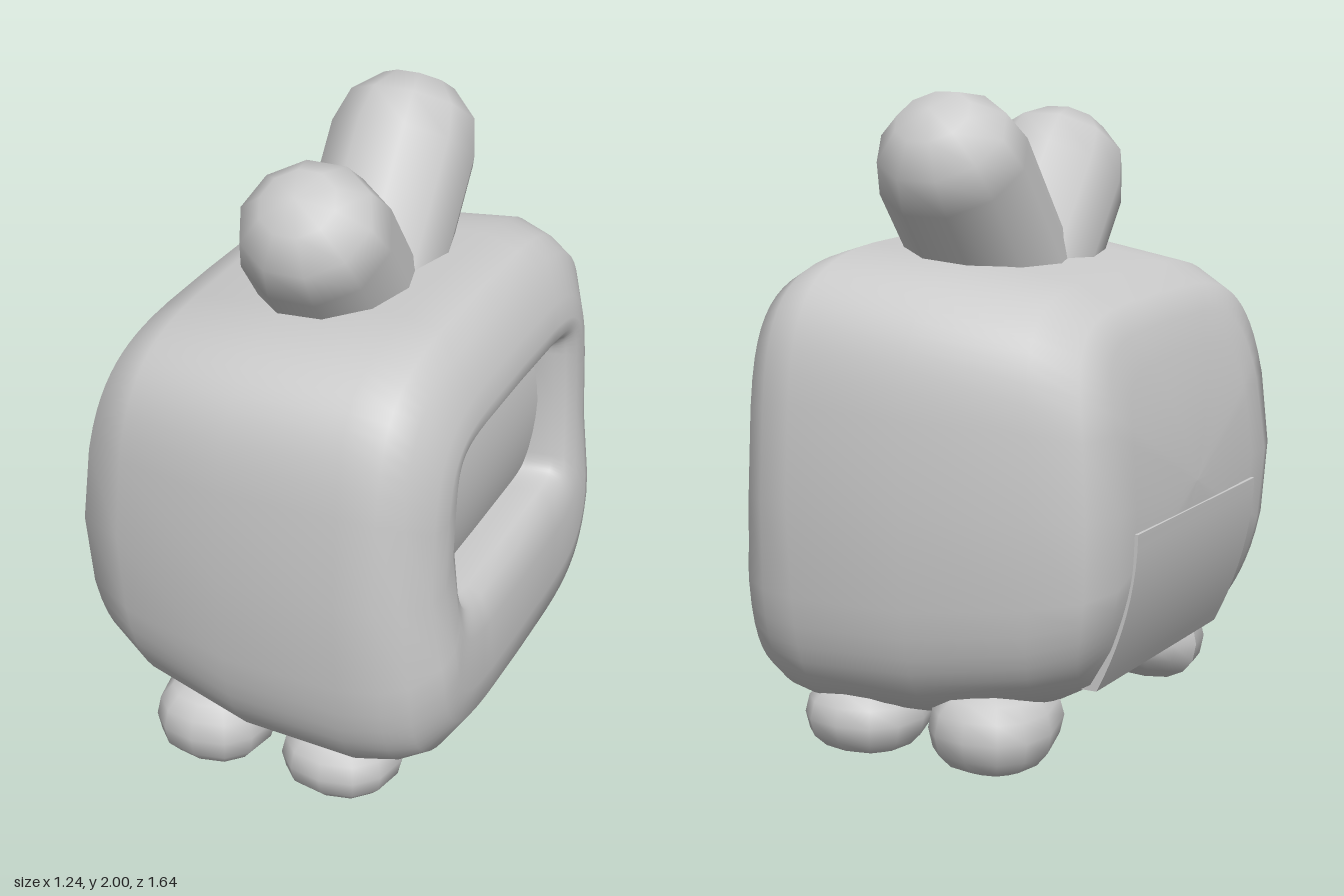
import * as THREE from 'three';

const material = new THREE.MeshStandardMaterial({ color: 0xcccccc });

function addMesh(parent, name, geometry) {
  const mesh = new THREE.Mesh(geometry, material);
  mesh.name = name;
  parent.add(mesh);
  return mesh;
}

const signedPow = (v, p) => Math.sign(v) * Math.abs(v) ** p;

// Bulge of the back: how far the surface moves forward away from mid height
const backCurve = (y) => (y > 0.77 ? 0.32 : 0.55) * (y - 0.77) ** 2;
// The lower front lip sticks out a little
const lip = (y) => 0.035 * (1 - THREE.MathUtils.smoothstep(y, 0.5, 0.85));

// Loft of pillow-shaped superellipse rings running along x.
// Ring: [x, half depth in z, bottom y, top y, exponent, back weight, lip weight]
function loft(rings, sides = 56) {
  const positions = [], index = [];
  rings.forEach(([x, halfZ, y0, y1, n, back, front], i) => {
    for (let j = 0; j < sides; j++) {
      const a = (j / sides) * Math.PI * 2;
      const u = signedPow(Math.cos(a), 2 / n), v = signedPow(Math.sin(a), 2 / n);
      const z = halfZ * u * (1 - 0.065 * Math.abs(v) ** 1.2);
      const y = (y0 + y1) / 2 + ((y1 - y0) / 2) * v * (1 - 0.03 * u * u);
      positions.push(x + back * backCurve(y) + front * lip(y), y, z);
      if (i === 0) continue;
      const k = (j + 1) % sides, p = (i - 1) * sides, q = i * sides;
      index.push(p + j, q + j, p + k, p + k, q + j, q + k);
    }
  });
  const geometry = new THREE.BufferGeometry();
  geometry.setAttribute('position', new THREE.Float32BufferAttribute(positions, 3));
  geometry.setIndex(index);
  geometry.computeVertexNormals();
  return geometry;
}

// Growing copies of a ring that close the back
function capRings([x, halfZ, y0, y1, ...rest]) {
  const mid = (y0 + y1) / 2, half = (y1 - y0) / 2;
  return [0.001, 0.2, 0.4, 0.6, 0.8, 1].map((s) =>
    [x, halfZ * s, mid - half * s, mid + half * s, ...rest]);
}

export function createModel() {
  const model = new THREE.Group();
  model.name = 'television';

  // Puffy cabinet, from the back face round to the inside of the screen opening
  const body = [
    ...capRings([-0.615, 0.53, 0.34, 1.31, 6, 1, 0]),
    [-0.57, 0.665, 0.25, 1.39, 5, 0.75, 0],
    [-0.42, 0.735, 0.19, 1.45, 5, 0.4, 0],
    [-0.05, 0.81, 0.12, 1.5, 5, 0.1, 0],
    [0.33, 0.822, 0.1, 1.535, 5, 0, 0],
    [0.44, 0.79, 0.12, 1.5, 5, 0, 0.4],
    [0.51, 0.75, 0.155, 1.46, 5, 0, 0.6],
    [0.565, 0.655, 0.25, 1.34, 5, 0, 1],
    [0.582, 0.59, 0.36, 1.27, 6, 0, 1],
    [0.58, 0.53, 0.54, 1.225, 8, 0, 1],
    [0.56, 0.48, 0.63, 1.195, 11, 0, 1],
    [0.53, 0.455, 0.66, 1.178, 14, 0, 0.5],
    [0.46, 0.447, 0.66, 1.172, 14, 0, 0],
    [0.38, 0.447, 0.66, 1.172, 14, 0, 0],
  ];
  addMesh(model, 'cabinet', loft(body));

  // Screen set back in the opening, curved from top to bottom
  const screen = new THREE.PlaneGeometry(0.94, 0.56, 1, 10);
  screen.rotateY(Math.PI / 2).translate(0.475, 0.915, 0);
  const s = screen.attributes.position;
  for (let i = 0; i < s.count; i++) s.setX(i, s.getX(i) - 0.6 * (s.getY(i) - 0.915) ** 2);
  screen.computeVertexNormals();
  addMesh(model, 'screen', screen);

  // Raised cover on the lower back, following the bulge
  const cover = new THREE.BoxGeometry(0.12, 0.49, 0.86, 1, 10, 1);
  cover.translate(-0.562, 0.505, 0);
  const p = cover.attributes.position;
  for (let i = 0; i < p.count; i++) p.setX(i, p.getX(i) + backCurve(p.getY(i)) * 0.92);
  cover.computeVertexNormals();
  addMesh(model, 'backCover', cover);

  // Two stubby antennae leaning apart, sunk into the top
  for (const [name, x, y, z] of [['frontAntenna', 0.028, 1.695, 0.275], ['backAntenna', 0.038, 1.774, -0.338]]) {
    const length = 0.46;
    const geometry = new THREE.CapsuleGeometry(0.227, length, 3, 10);
    geometry.translate(0, -length / 2, 0);
    const antenna = addMesh(model, name, geometry);
    antenna.position.set(x, y, z);
    antenna.rotation.x = Math.sign(z) * 0.67;
    antenna.scale.x = 1.05;
  }

  // Four chunky feet, stretched inward under the cabinet
  for (const front of [1, -1]) {
    for (const [side, x, height] of [['Left', 0.235, 0.24], ['Right', -0.2, 0.275]]) {
      const geometry = new THREE.SphereGeometry(1, 12, 8);
      const v = geometry.attributes.position;
      for (let i = 0; i < v.count; i++) {
        const [px, py, pz] = [v.getX(i), v.getY(i), v.getZ(i)].map((c) => signedPow(c, 0.85));
        // the inner end is longer, thinner and higher
        const inner = Math.max(0, -pz);
        v.setXYZ(i, px, py * (1 - 0.2 * inner) + 0.3 * inner, pz * (1 + 0.25 * inner));
      }
      geometry.scale(0.188, height / 2, 0.2);
      geometry.computeVertexNormals();
      const foot = addMesh(model, (front > 0 ? 'front' : 'back') + side + 'Foot', geometry);
      foot.position.set(x, height / 2, front * 0.52);
      if (front < 0) foot.rotation.y = Math.PI;
    }
  }
  return model;
}
